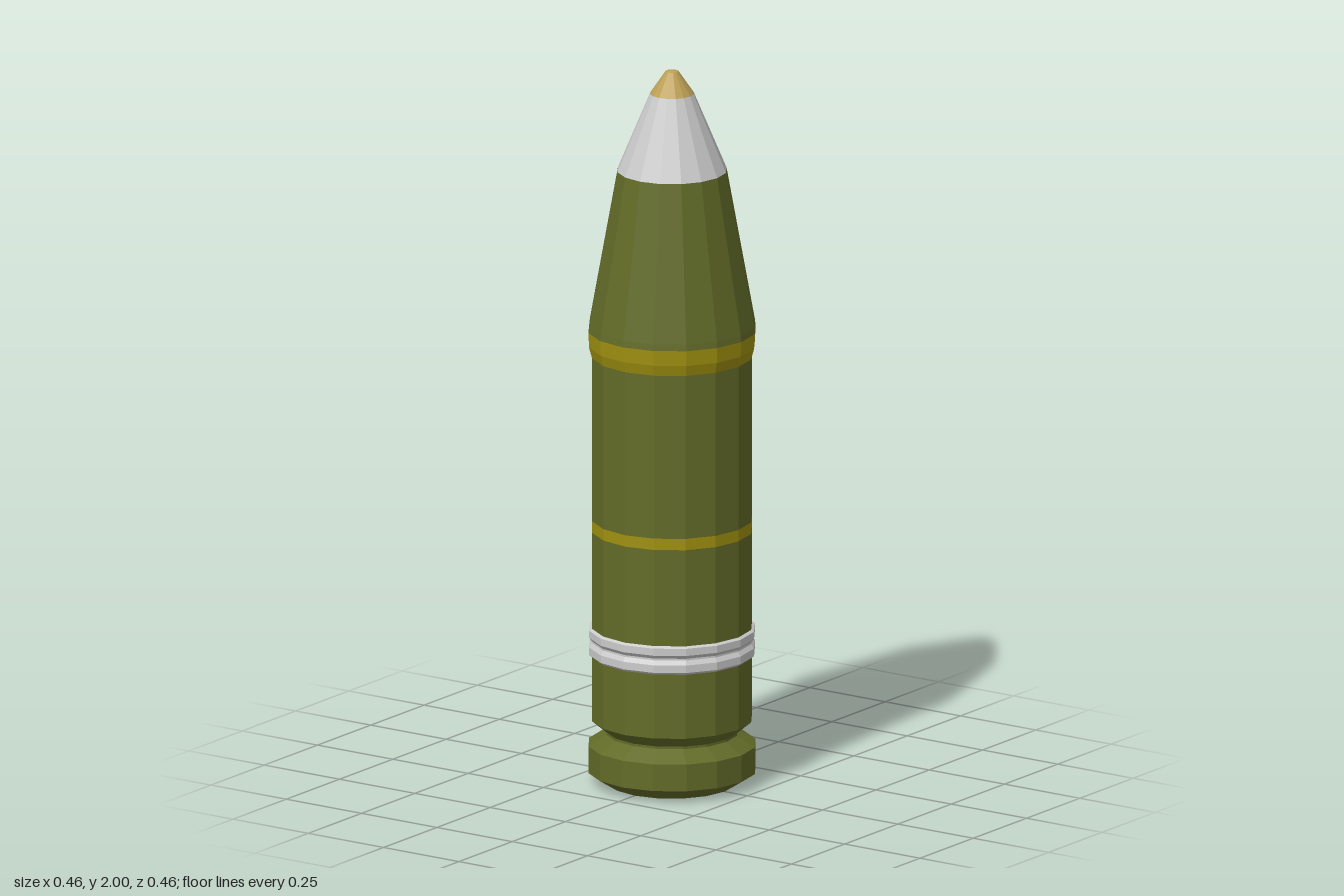
import * as THREE from 'three';

const SIDES = 16;
const material = (color) => new THREE.MeshStandardMaterial({ color, flatShading: true });

export function createModel() {
  const group = new THREE.Group();
  const olive = material(0x626b28);
  const yellow = material(0x9f9010);
  const grey = material(0xcccccc);
  const brass = material(0xbda055);

  // Turned section from [radius, height] pairs, listed bottom to top
  const turned = (name, mat, profile) => {
    const points = profile.map(([r, y]) => new THREE.Vector2(r, y));
    const mesh = new THREE.Mesh(new THREE.LatheGeometry(points, SIDES), mat);
    mesh.name = name;
    group.add(mesh);
  };

  // Case: rim, extractor groove and straight wall
  turned('caseBase', olive, [
    [0, 0], [0.175, 0], [0.23, 0.035], [0.23, 0.11], [0.18, 0.14],
    [0.18, 0.147], [0.22, 0.18], [0.22, 0.36],
  ]);
  // Double crimp ring
  turned('crimpRings', grey, [
    [0.22, 0.36], [0.228, 0.367], [0.228, 0.388], [0.22, 0.4],
    [0.22, 0.405], [0.228, 0.415], [0.228, 0.435], [0.22, 0.44],
  ]);
  turned('lowerBody', olive, [[0.22, 0.44], [0.22, 0.71]]);
  turned('narrowStripe', yellow, [[0.22, 0.71], [0.22, 0.742]]);
  turned('upperBody', olive, [[0.22, 0.742], [0.22, 1.2]]);
  turned('wideStripe', yellow, [[0.22, 1.2], [0.228, 1.23], [0.23, 1.272]]);
  // Tapered shoulder
  turned('shoulder', olive, [[0.23, 1.272], [0.228, 1.29], [0.15, 1.72]]);
  // Nose cone and blunt tip
  turned('noseCone', grey, [[0.15, 1.72], [0.06, 1.935]]);
  turned('tip', brass, [[0.06, 1.935], [0.018, 1.997], [0, 2]]);
  return group;
}
